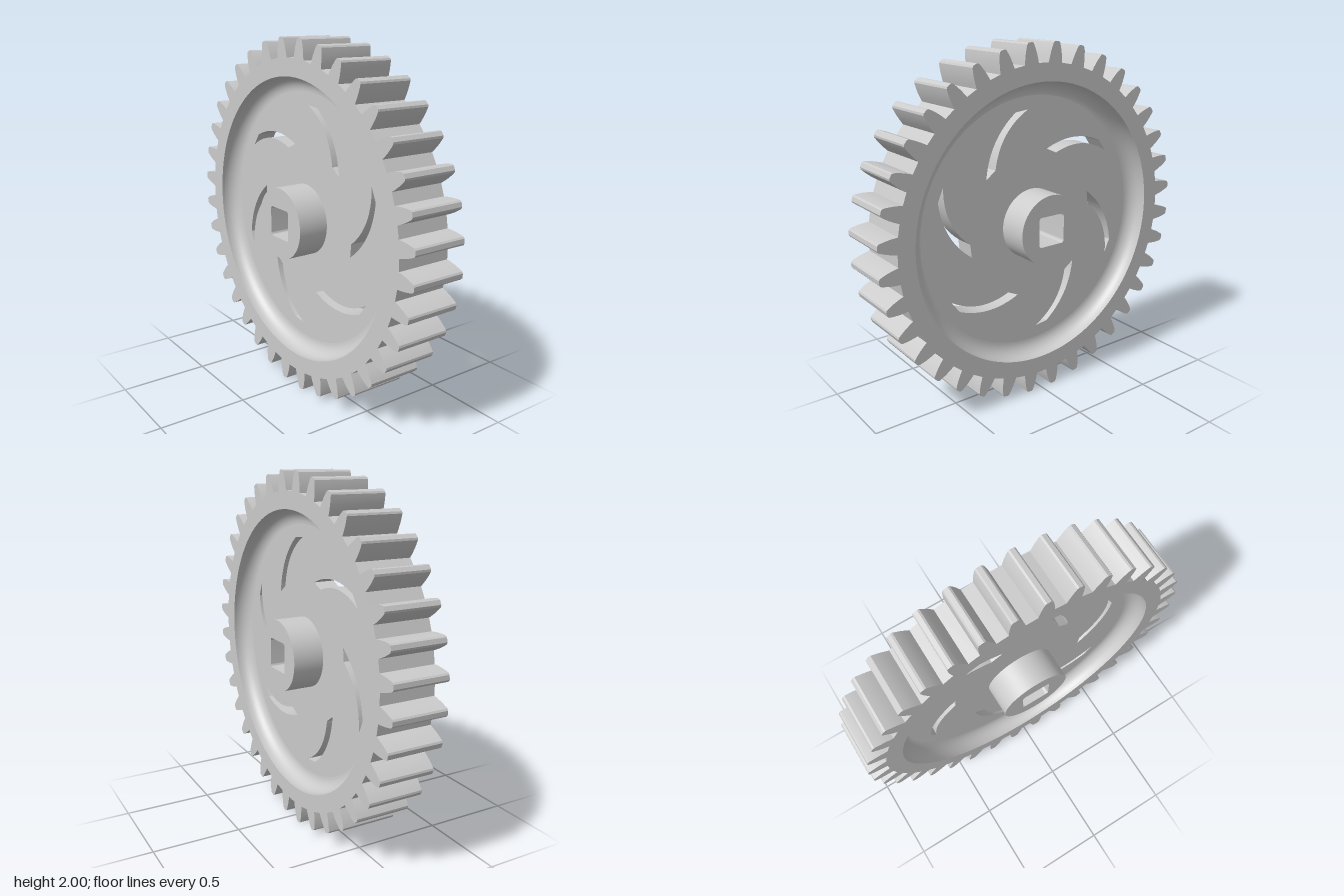
import * as THREE from 'three';
import { toCreasedNormals } from 'three/addons/utils/BufferGeometryUtils.js';

const TEETH = 36;
const RIM_HALF = 0.157, WEB_HALF = 0.06, HUB_HALF = 0.236;
const RIM_INNER = 0.795, HUB_RADIUS = 0.2, FILLET = 0.08;

const material = new THREE.MeshStandardMaterial({ color: 0xcccccc });

function circle(radius, Type = THREE.Path) {
  return new Type().absarc(0, 0, radius, 0, Math.PI * 2, false);
}

// Extrude a shape symmetrically about z = 0, smooth on curves and sharp at corners
function plate(name, shape, half) {
  const geometry = new THREE.ExtrudeGeometry(shape, {
    depth: half * 2, bevelEnabled: false, curveSegments: 48,
  });
  geometry.translate(0, 0, -half);
  const mesh = new THREE.Mesh(toCreasedNormals(geometry, 0.5), material);
  mesh.name = name;
  return mesh;
}

// Toothed outline: half a tooth as [sideways offset, radius], mirrored and repeated
function toothedOutline() {
  const flank = [[0.045, 0.892], [0.041, 0.92], [0.035, 0.95], [0.027, 0.978], [0.021, 0.995], [0.012, 1.002]];
  const tooth = [
    ...flank.map(([w, r]) => [w, r]),
    ...flank.slice().reverse().map(([w, r]) => [-w, r]),
  ];
  const points = [];
  for (let i = 0; i < TEETH; i++) {
    const angle = ((i + 0.5) / TEETH) * Math.PI * 2;
    const c = Math.cos(angle), s = Math.sin(angle);
    for (const [w, r] of tooth) points.push(new THREE.Vector2(r * c + w * s, r * s - w * c));
  }
  return new THREE.Shape(points);
}

// Curved slot, turned around the axis
function slot(angle) {
  const at = (x, y) => {
    const p = new THREE.Vector2(x, y).rotateAround(new THREE.Vector2(), angle);
    return [p.x, p.y];
  };
  const path = new THREE.Path();
  path.moveTo(...at(0.027, 0.642));
  path.quadraticCurveTo(...at(0.214, 0.545), ...at(0.245, 0.337));
  path.lineTo(...at(0.305, 0.294));
  path.quadraticCurveTo(...at(0.282, 0.507), ...at(0.11, 0.633));
  path.closePath();
  return path;
}

// Square bore with small rounded corners
function squareBore(h, r) {
  const path = new THREE.Path();
  for (let i = 0; i < 4; i++) {
    const a = (i * Math.PI) / 2 + Math.PI / 4;
    const d = (h - r) * Math.SQRT2;
    path.absarc(d * Math.cos(a), d * Math.sin(a), r, (i * Math.PI) / 2, ((i + 1) * Math.PI) / 2, false);
  }
  path.closePath();
  return path;
}

export function createModel() {
  const gear = new THREE.Group();
  gear.name = 'gear';

  // Rim with teeth
  const rim = toothedOutline();
  rim.holes.push(circle(RIM_INNER));
  gear.add(plate('toothedRim', rim, RIM_HALF));

  // Recessed web with six curved slots
  const web = circle(RIM_INNER, THREE.Shape);
  web.holes.push(circle(HUB_RADIUS - 0.01));
  for (let i = 0; i < 6; i++) web.holes.push(slot((i * Math.PI) / 3));
  gear.add(plate('web', web, WEB_HALF));

  // Hub with square bore
  const hub = circle(HUB_RADIUS, THREE.Shape);
  hub.holes.push(squareBore(0.085, 0.016));
  gear.add(plate('hub', hub, HUB_HALF));

  // Concave fillet between web and rim, on both faces
  const profile = [];
  for (let i = 0; i <= 10; i++) {
    const a = (i / 10) * Math.PI / 2;
    profile.push(new THREE.Vector2(
      RIM_INNER - FILLET + FILLET * Math.cos(a),
      WEB_HALF + FILLET - FILLET * Math.sin(a),
    ));
  }
  const filletGeometry = new THREE.LatheGeometry(profile, 96);
  for (const side of [1, -1]) {
    const fillet = new THREE.Mesh(filletGeometry, material);
    fillet.name = side > 0 ? 'frontFillet' : 'backFillet';
    fillet.rotation.x = (side * Math.PI) / 2;
    gear.add(fillet);
  }

  gear.position.y = 1;
  const model = new THREE.Group();
  model.name = 'spurGear';
  model.add(gear);
  return model;
}
